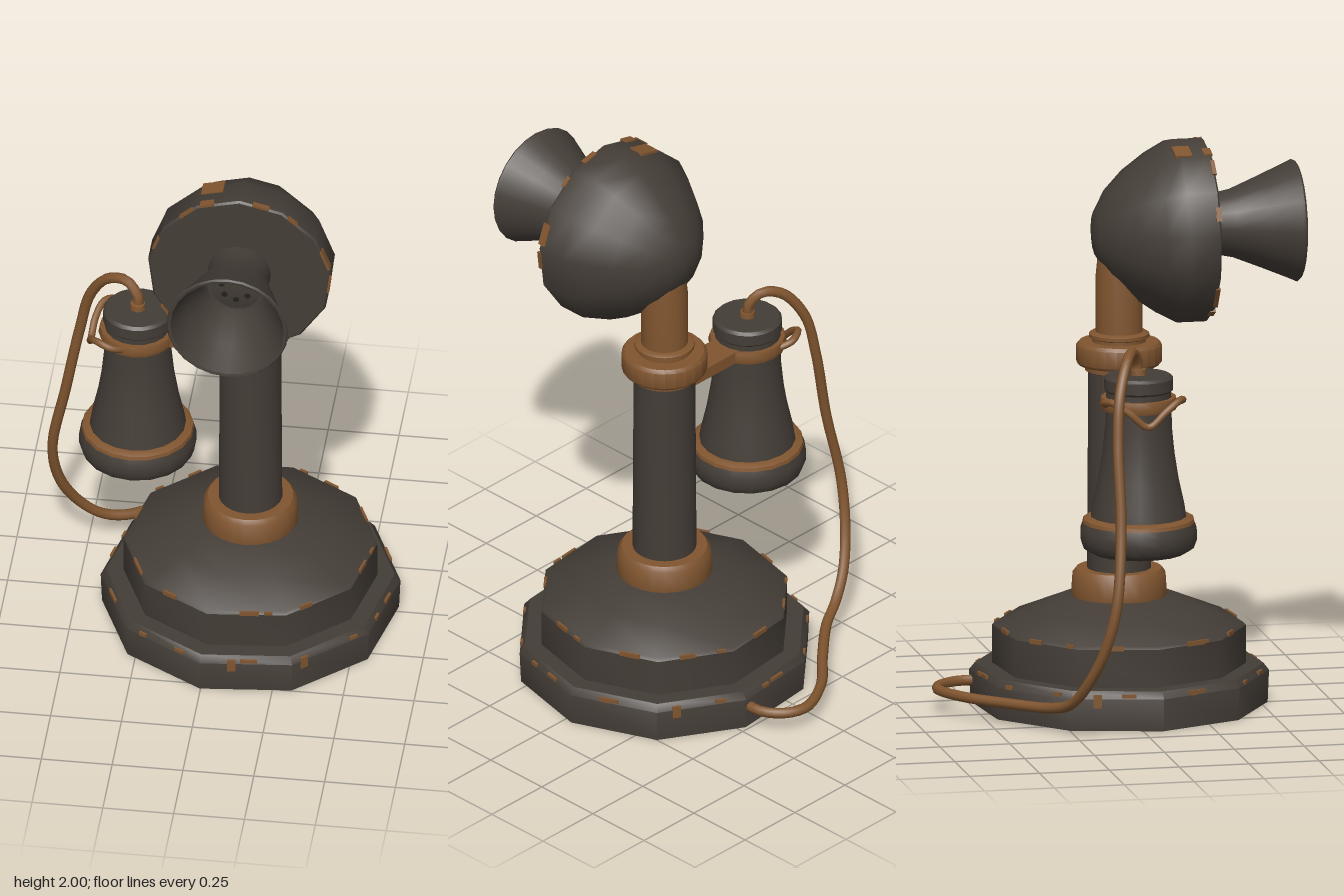
import * as THREE from 'three';
import { toCreasedNormals } from 'three/addons/utils/BufferGeometryUtils.js';

const V = (a) => a.map(([x, y]) => new THREE.Vector2(x, y));

export function createModel() {
  const mat = (name, color) => {
    const m = new THREE.MeshStandardMaterial({ color });
    m.name = name;
    return m;
  };
  const iron = mat('dark iron', 0x443d37);
  const copper = mat('worn copper', 0x80552f);
  const shadow = mat('hole black', 0x24201d);

  const model = new THREE.Group();
  model.name = 'candlestickTelephone';

  const add = (parent, name, geo, material, x = 0, y = 0, z = 0) => {
    const mesh = new THREE.Mesh(geo, material);
    mesh.name = name;
    mesh.position.set(x, y, z);
    parent.add(mesh);
    return mesh;
  };
  const group = (name, x, y, z) => {
    const g = new THREE.Group();
    g.name = name;
    g.position.set(x, y, z);
    model.add(g);
    return g;
  };
  // turned part, smooth around its sides with sharp profile corners
  const turned = (parent, name, profile, sides, material, phase = 0) =>
    add(parent, name, toCreasedNormals(new THREE.LatheGeometry(V(profile), sides, phase), 0.7), material);
  const tube = (parent, name, pts, r, segs, material) =>
    add(parent, name, new THREE.TubeGeometry(
      new THREE.CatmullRomCurve3(pts.map((p) => new THREE.Vector3(...p))), segs, r, 8), material);

  // worn paint: a thin plate that wraps a rim on one side of a polygon
  const chip = (parent, sides, phase, radius, top, side, offset, length, height) => {
    const step = (Math.PI * 2) / sides;
    const a = phase + (side + 0.5) * step;
    const r = radius * Math.cos(step / 2);
    const m = add(parent, 'wornEdge', new THREE.BoxGeometry(length, height, 0.009), copper,
      Math.sin(a) * r + Math.cos(a) * offset, top - height / 2 + 0.003,
      Math.cos(a) * r - Math.sin(a) * offset);
    m.rotation.y = a;
  };

  // stepped ten-sided base
  const stand = group('stand', 0.11, 0, 0.02);
  const phase = THREE.MathUtils.degToRad(23.5);
  turned(stand, 'basePlinth', [[0, 0], [0.52, 0], [0.525, 0.115], [0.505, 0.14], [0.42, 0.14]], 10, iron, phase);
  turned(stand, 'baseDome', [[0.445, 0.13], [0.445, 0.275], [0.435, 0.285], [0.3, 0.34], [0.19, 0.385], [0, 0.39]],
    10, iron, phase);
  for (let i = 0; i < 10; i++) {
    const s = ((i * 7) % 5) / 5;
    chip(stand, 10, phase, 0.521, 0.128, i, 0.1 - 0.15 * s, 0.03 + 0.05 * s, 0.012);
    chip(stand, 10, phase, 0.521, 0.125, i, -0.11 + 0.1 * s, 0.03, i % 3 ? 0.014 : 0.045);
    chip(stand, 10, phase, 0.442, 0.284, i, -0.05 + 0.1 * s, 0.05 + 0.03 * s, 0.016);
    if (i % 2) chip(stand, 10, phase, 0.442, 0.284, i, 0.1 - 0.04 * s, 0.03, 0.012);
  }

  // column and its collars
  turned(stand, 'lowerCollar', [[0.165, 0.375], [0.168, 0.39], [0.163, 0.465], [0.15, 0.482], [0.1, 0.482]], 24, copper);
  turned(stand, 'column', [[0.112, 0.47], [0.108, 1.2]], 24, iron);
  turned(stand, 'upperCollar',
    [[0.1, 1.19], [0.12, 1.19], [0.12, 1.21], [0.142, 1.21], [0.15, 1.22], [0.15, 1.28], [0.14, 1.292], [0.07, 1.292]],
    24, copper);
  turned(stand, 'neckRing', [[0.095, 1.29], [0.095, 1.303], [0.106, 1.308], [0.106, 1.32], [0.095, 1.327], [0.07, 1.327]],
    24, copper);
  turned(stand, 'neck', [[0.083, 1.32], [0.083, 1.52], [0.075, 1.6], [0, 1.64]], 20, copper);

  // transmitter head, turned about the forward axis
  const head = group('transmitterHead', 0.11, 1.68, 0);
  head.rotation.x = Math.PI / 2;
  turned(head, 'headShell',
    [[0, -0.08], [0.08, -0.065], [0.155, -0.02], [0.225, 0.05], [0.285, 0.135], [0.325, 0.21], [0.325, 0.315],
      [0.318, 0.322], [0, 0.322]], 13, iron, Math.PI / 13);
  for (const [side, off, len, h] of [[0, 0, 0.05, 0.03], [2, 0.03, 0.07, 0.015], [3, -0.02, 0.08, 0.03], [4, 0.03, 0.04, 0.015],
    [5, 0, 0.06, 0.02], [6, 0.04, 0.05, 0.03], [7, -0.03, 0.06, 0.015], [8, 0, 0.05, 0.02], [10, 0.02, 0.09, 0.015],
    [11, -0.03, 0.05, 0.02], [12, 0.02, 0.04, 0.012]]) {
    chip(head, 13, Math.PI / 13, 0.325, 0.322, side, off, len, h);
  }
  // worn patch on top of the shell
  chip(head, 13, Math.PI / 13, 0.325, 0.25, 6, 0.03, 0.08, 0.06);

  // mouthpiece horn with a perforated disc inside
  const horn = group('mouthpiece', 0.11, 1.695, 0);
  horn.rotation.x = Math.PI / 2;
  turned(horn, 'hornShell',
    [[0.112, 0.31], [0.108, 0.36], [0.12, 0.42], [0.165, 0.53], [0.21, 0.635], [0.215, 0.645], [0.21, 0.652], [0.2, 0.65],
      [0.155, 0.54], [0.11, 0.44], [0.104, 0.4], [0, 0.4]], 24, iron);
  turned(horn, 'speakerDisc', [[0.09, 0.4], [0.09, 0.408], [0.08, 0.412], [0, 0.412]], 20, iron);
  for (let i = 0; i < 7; i++) {
    const a = (i / 7) * Math.PI * 2;
    add(horn, 'speakerHole', new THREE.CylinderGeometry(0.011, 0.011, 0.004, 10), shadow,
      Math.sin(a) * 0.052, 0.412, Math.cos(a) * 0.052);
  }

  // hanging receiver
  const receiver = group('receiver', -0.29, 0, 0.005);
  turned(receiver, 'receiverBell',
    [[0, 0.622], [0.165, 0.622], [0.195, 0.64], [0.206, 0.67], [0.206, 0.705], [0.195, 0.735], [0.165, 0.748]], 18, iron);
  turned(receiver, 'bellBand', [[0.198, 0.73], [0.195, 0.743], [0.175, 0.752], [0.155, 0.752]], 18, copper);
  turned(receiver, 'receiverHandle',
    [[0.17, 0.745], [0.163, 0.79], [0.143, 0.88], [0.127, 0.98], [0.118, 1.07], [0.115, 1.2]], 18, iron);
  turned(receiver, 'hookRing', [[0.11, 1.135], [0.132, 1.135], [0.138, 1.155], [0.132, 1.178], [0.11, 1.178]], 18, copper);
  turned(receiver, 'receiverCap', [[0.108, 1.19], [0.122, 1.205], [0.122, 1.245], [0.112, 1.255], [0, 1.255]], 18, iron);
  turned(receiver, 'cordSocket', [[0.028, 1.25], [0.026, 1.275], [0, 1.28]], 12, copper);

  // switch hook: arm from the column and a drooping loop around the receiver
  add(model, 'hookArm', new THREE.BoxGeometry(0.24, 0.044, 0.115), copper, -0.08, 1.158, 0.005);
  tube(model, 'hookLoop',
    [[-0.32, 1.155, 0.12], [-0.37, 1.175, 0.145], [-0.42, 1.185, 0.125], [-0.447, 1.15, 0.07], [-0.455, 1.1, 0.005],
      [-0.447, 1.15, -0.06], [-0.42, 1.185, -0.115], [-0.37, 1.175, -0.135], [-0.32, 1.155, -0.11]], 0.013, 40, copper);

  // cord from the receiver cap down and around to the back of the base
  tube(model, 'cord',
    [[-0.29, 1.25, 0], [-0.29, 1.3, 0], [-0.33, 1.345, -0.025], [-0.4, 1.325, -0.06], [-0.47, 1.22, -0.1],
      [-0.51, 1.05, -0.115], [-0.56, 0.78, -0.115], [-0.61, 0.5, -0.14], [-0.59, 0.33, -0.18], [-0.53, 0.2, -0.23],
      [-0.45, 0.12, -0.27], [-0.36, 0.09, -0.315], [-0.2, 0.08, -0.45], [-0.07, 0.08, -0.57], [0.07, 0.08, -0.635],
      [0.15, 0.08, -0.61], [0.2, 0.08, -0.54], [0.2, 0.08, -0.43]], 0.019, 90, copper);

  return model;
}
